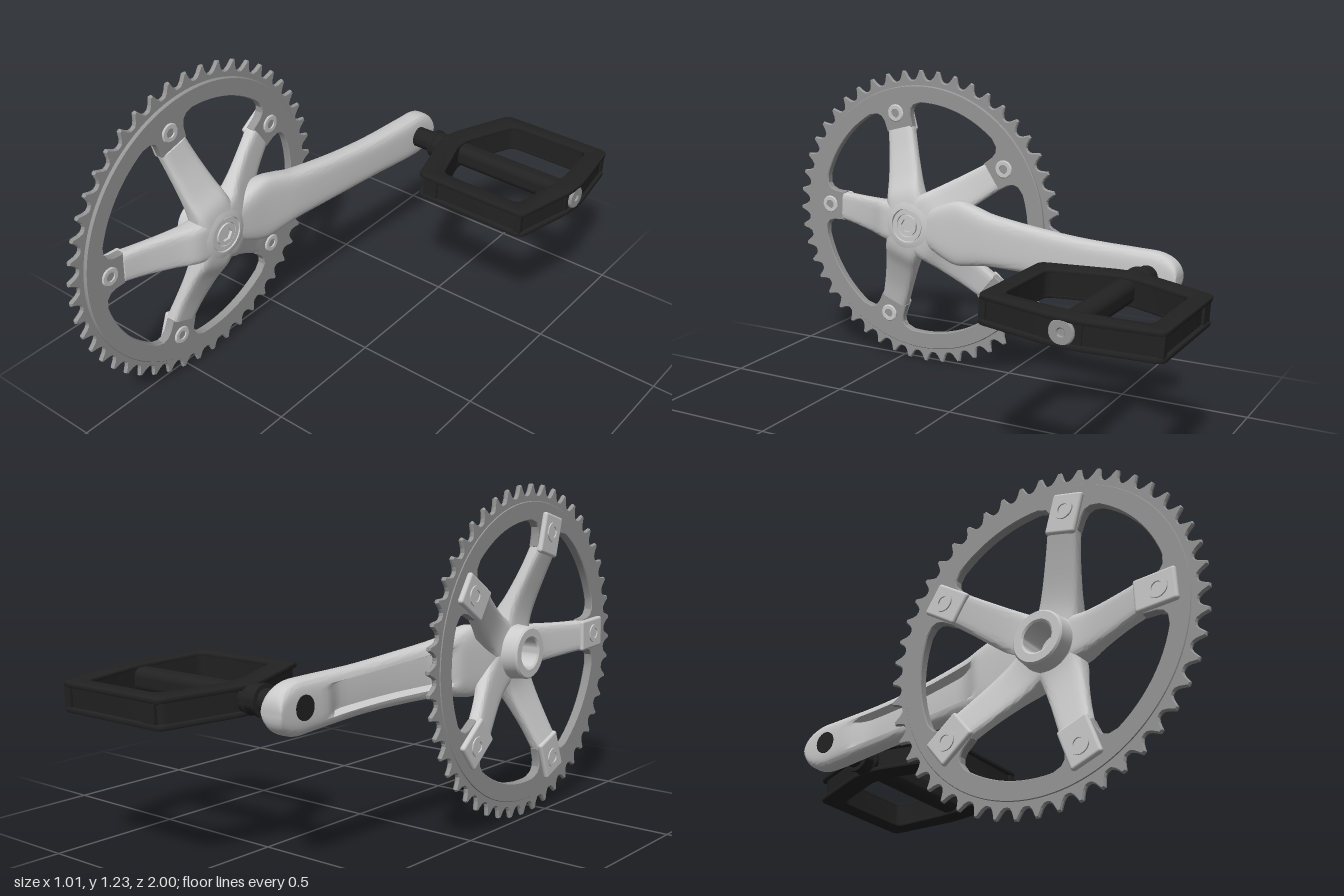
import * as THREE from 'three';
import { toCreasedNormals } from 'three/addons/utils/BufferGeometryUtils.js';
import { RoundedBoxGeometry } from 'three/addons/geometries/RoundedBoxGeometry.js';

const alloy = new THREE.MeshStandardMaterial({ color: 0xcccccc });
const steel = new THREE.MeshStandardMaterial({ color: 0x969696 });
const black = new THREE.MeshStandardMaterial({ color: 0x222222 });

// Working frame: X along the crank, Y up, Z outward from the chainring.
const TAB_ANGLES = [0, 1, 2, 3, 4].map((k) => Math.PI / 5 + (k * Math.PI * 2) / 5);
const PEDAL_X = 1.06;

function add(parent, name, geo, mat) {
  const m = new THREE.Mesh(geo, mat);
  m.name = name;
  parent.add(m);
  return m;
}

// Profile of [radius, z] spun about the Z axis
function spin(profile, segments = 40) {
  const g = new THREE.LatheGeometry(profile.map(([r, z]) => new THREE.Vector2(r, z)), segments);
  g.rotateX(Math.PI / 2);
  return toCreasedNormals(g, 0.5);
}

// Loft along X through stations [x, halfWidth, zBack, zFront], with an optional groove in the back
function loft(stations, power, groove = () => 0) {
  const N = 40, pos = [], idx = [];
  const sp = (v) => Math.sign(v) * Math.abs(v) ** power;
  for (const [x, w, z0, z1] of stations) {
    for (let j = 0; j < N; j++) {
      const a = (j / N) * Math.PI * 2, c = sp(Math.cos(a)), s = sp(Math.sin(a));
      let z = (z0 + z1) / 2 + (s * (z1 - z0)) / 2;
      if (s < 0 && Math.abs(c) < 0.62) z += groove(x);
      pos.push(x, c * w, z);
    }
  }
  const last = stations.length - 1;
  for (let i = 0; i < last; i++) {
    for (let j = 0; j < N; j++) {
      const a = i * N + j, b = i * N + ((j + 1) % N);
      idx.push(a, b, a + N, b, b + N, a + N);
    }
  }
  for (const i of [0, last]) {
    const [x, , z0, z1] = stations[i], centre = pos.length / 3;
    pos.push(x, 0, (z0 + z1) / 2);
    for (let j = 0; j < N; j++) {
      const a = i * N + j, b = i * N + ((j + 1) % N);
      idx.push(centre, ...(i ? [a, b] : [b, a]));
    }
  }
  const g = new THREE.BufferGeometry();
  g.setAttribute('position', new THREE.Float32BufferAttribute(pos, 3));
  g.setIndex(idx);
  return toCreasedNormals(g, 0.65);
}

// Smoothly resample stations with a spline per column
function resample(stations, steps) {
  const cols = [1, 2, 3].map((k) => new THREE.SplineCurve(stations.map((s) => new THREE.Vector2(s[0], s[k]))));
  return Array.from({ length: steps + 1 }, (_, i) => {
    const p = cols.map((c) => c.getPoint(i / steps));
    return [p[0].x, p[0].y, p[1].y, p[2].y];
  });
}

const polar = (a, r) => new THREE.Vector2(Math.cos(a) * r, Math.sin(a) * r);

function buildChainring(parent) {
  // Pointed teeth, thinned by a wide bevel
  const TEETH = 48;
  const tooth = [[0, 0], [0.16, 0.06], [0.3, 0.36], [0.45, 0.97], [0.55, 0.97], [0.7, 0.36], [0.84, 0.06]];
  const outline = [];
  for (let i = 0; i < TEETH; i++) {
    for (const [t, h] of tooth) outline.push(polar(((i + t) / TEETH) * Math.PI * 2, 0.57 + 0.041 * h));
  }
  const teeth = new THREE.Shape(outline);
  teeth.holes.push(new THREE.Path().absarc(0, 0, 0.51, 0, Math.PI * 2, true));
  const tg = new THREE.ExtrudeGeometry(teeth, {
    depth: 0.006, bevelThickness: 0.006, bevelSize: 0.004, bevelSegments: 1, curveSegments: 96,
  });
  add(parent, 'chainringTeeth', tg.translate(0, 0, -0.003), steel);

  // Ring body with five inward tabs
  const tab = [[-0.26, 0.487], [-0.19, 0.477], [-0.155, 0.46], [-0.142, 0.435], [-0.15, 0.39]];
  const inner = [];
  for (const a of TAB_ANGLES) {
    for (const [d, r] of tab) inner.push(polar(a + d, r));
    for (const [d, r] of [...tab].reverse()) inner.push(polar(a - d, r));
    for (let k = 1; k < 12; k++) inner.push(polar(a + 0.26 + (k / 12) * (Math.PI * 0.4 - 0.52), 0.487));
  }
  const body = new THREE.Shape().absarc(0, 0, 0.55, 0, Math.PI * 2, false);
  body.holes.push(new THREE.Path(inner));
  const bg = new THREE.ExtrudeGeometry(body, {
    depth: 0.026, bevelThickness: 0.004, bevelSize: 0.003, bevelSegments: 1, curveSegments: 96,
  });
  add(parent, 'chainringBody', toCreasedNormals(bg.translate(0, 0, -0.008), 0.5), steel);
}

function buildSpider(parent) {
  const armGeo = loft(resample([
    [0.07, 0.086, 0.04, 0.136], [0.13, 0.078, 0.04, 0.125], [0.2, 0.071, 0.028, 0.09],
    [0.3, 0.063, 0.0, 0.052], [0.388, 0.058, -0.028, 0.028],
  ], 20), 0.45);
  const boltGeo = spin([[0, -0.025], [0.02, -0.025], [0.02, -0.036], [0.036, -0.036], [0.036, 0.025],
    [0.032, 0.028], [0.018, 0.028], [0.018, 0.019], [0, 0.019]], 28);
  for (const a of TAB_ANGLES) {
    const arm = new THREE.Group();
    arm.name = 'spiderArm';
    arm.rotation.z = a;
    parent.add(arm);
    add(arm, 'armBlade', armGeo, alloy);
    // Tongue behind the ring, held by a chainring bolt
    add(arm, 'armTongue', new RoundedBoxGeometry(0.15, 0.118, 0.022, 3, 0.01), alloy).position.set(0.44, 0, -0.02);
    add(arm, 'chainringBolt', boltGeo, alloy).position.x = 0.451;
  }
}

function buildCrank(parent) {
  // Hub with open rear bore and recessed front
  add(parent, 'hub', spin([[0, 0.09], [0.055, 0.09], [0.055, -0.015], [0.062, -0.02], [0.09, -0.02], [0.096, -0.014],
    [0.1, 0.04], [0.12, 0.06], [0.12, 0.11], [0.11, 0.128], [0.08, 0.138], [0.07, 0.139], [0.068, 0.128], [0, 0.128]]), alloy);
  add(parent, 'hubWasher', spin([[0.066, 0.12], [0.066, 0.136], [0.048, 0.136], [0.046, 0.12]]), alloy);
  const bolt = new THREE.Shape().absarc(0, 0, 0.043, 0, Math.PI * 2, false);
  bolt.holes.push(new THREE.Path([0, 1, 2, 3, 4, 5].map((k) => polar((k * Math.PI) / 3, 0.028))));
  const boltGeo = new THREE.ExtrudeGeometry(bolt, { depth: 0.02, bevelEnabled: false, curveSegments: 24 });
  add(parent, 'crankBolt', toCreasedNormals(boltGeo.translate(0, 0, 0.119), 0.5), alloy);

  // Crank arm, flared into the spider and grooved behind
  const arm = resample([
    [0.07, 0.07, 0.045, 0.132], [0.14, 0.105, 0.05, 0.139], [0.22, 0.13, 0.06, 0.147], [0.3, 0.118, 0.07, 0.158],
    [0.385, 0.102, 0.085, 0.17], [0.585, 0.09, 0.113, 0.192], [0.785, 0.084, 0.127, 0.209],
    [0.985, 0.088, 0.134, 0.222], [PEDAL_X, 0.09, 0.136, 0.223],
  ], 48);
  for (let k = 1; k <= 10; k++) {
    const t = (k / 10) * 1.54;
    arm.push([PEDAL_X + 0.108 * Math.sin(t), 0.09 * Math.cos(t) ** 0.7, 0.136, 0.223]);
  }
  const groove = (x) => 0.035 * THREE.MathUtils.smoothstep(x, 0.3, 0.42)
    * (1 - THREE.MathUtils.smoothstep(x, 0.87, 0.95));
  add(parent, 'crankArm', loft(arm, 0.55, groove), alloy);
}

// Closed path with rounded corners
function roundedPath(path, pts, r) {
  pts.forEach((p, i) => {
    const prev = pts[(i + pts.length - 1) % pts.length], next = pts[(i + 1) % pts.length];
    const from = p.clone().add(prev.clone().sub(p).setLength(r));
    const to = p.clone().add(next.clone().sub(p).setLength(r));
    if (i) path.lineTo(from.x, from.y);
    else path.moveTo(from.x, from.y);
    path.quadraticCurveTo(p.x, p.y, to.x, to.y);
  });
  path.closePath();
  return path;
}

function buildPedal(parent) {
  const pedal = new THREE.Group();
  pedal.name = 'pedal';
  pedal.position.set(PEDAL_X, 0.003, 0.47);
  parent.add(pedal);

  // Plan view, anticlockwise: first coordinate along the axle, second along the crank
  const mirror = (half) => [...half.map(([a, b]) => [a, -b]), ...[...half].reverse()]
    .map(([a, b]) => new THREE.Vector2(a, b));
  const outer = mirror([[-0.112, 0.045], [-0.018, 0.321], [0.452, 0.321], [0.502, 0.05]]);
  const hole = mirror([[-0.025, 0.035], [0.055, 0.256], [0.39, 0.256], [0.42, 0.035]]);
  const toPlan = new THREE.Matrix4().makeBasis(
    new THREE.Vector3(0, 0, 1), new THREE.Vector3(1, 0, 0), new THREE.Vector3(0, 1, 0));
  const plate = (name, inset, y0, y1, bevel) => {
    const pts = outer.map((p) => new THREE.Vector2(0.2 + (p.x - 0.2) * (1 - inset), p.y * (1 - inset)));
    const shape = roundedPath(new THREE.Shape(), pts, 0.03);
    shape.holes.push(roundedPath(new THREE.Path(), hole, 0.03));
    const g = new THREE.ExtrudeGeometry(shape, {
      depth: y1 - y0 - 2 * bevel, bevelEnabled: bevel > 0, bevelThickness: bevel, bevelSize: bevel,
      bevelOffset: -bevel, bevelSegments: 2, curveSegments: 6,
    });
    g.translate(0, 0, y0 + bevel).applyMatrix4(toPlan);
    add(pedal, name, toCreasedNormals(g, 0.6), black);
  };
  plate('cageWall', 0.045, -0.04, 0.04, 0);
  plate('cageTop', 0, 0.034, 0.052, 0.005);
  plate('cageBottom', 0, -0.052, -0.034, 0.005);

  // Corner posts bridging the two rims, and the block around the axle end
  for (const side of [-1, 1]) {
    for (const [a, width] of [[0.035, 0.06], [0.43, 0.03]]) {
      add(pedal, 'cagePost', new THREE.BoxGeometry(0.024, 0.08, width), black).position.set(side * 0.304, 0, a);
    }
  }
  add(pedal, 'axleEndBlock', new THREE.BoxGeometry(0.13, 0.08, 0.05), black).position.set(0, 0, 0.465);
  add(pedal, 'centreBar', new RoundedBoxGeometry(0.08, 0.086, 0.5, 4, 0.03), black).position.set(0, 0, 0.2);

  // Axle with stepped collar
  add(pedal, 'axle', spin([[0, -0.337], [0.041, -0.337], [0.041, -0.166], [0.056, -0.165], [0.056, -0.152],
    [0.051, -0.148], [0.051, -0.115], [0.056, -0.11], [0.056, -0.09], [0.04, -0.05], [0, -0.05]]), black);
  add(pedal, 'axleCap', spin([[0.044, 0.48], [0.044, 0.498], [0.04, 0.502], [0.016, 0.502], [0.012, 0.495], [0, 0.495]]), steel);
}

export function createModel() {
  const group = new THREE.Group();
  group.name = 'crankset';
  const assembly = new THREE.Group();
  assembly.name = 'crankAssembly';
  assembly.rotation.set(0, Math.PI / 2, -0.05);
  assembly.position.set(-0.47, 0.617, 0.385);
  group.add(assembly);
  buildChainring(assembly);
  buildSpider(assembly);
  buildCrank(assembly);
  buildPedal(assembly);
  return group;
}
